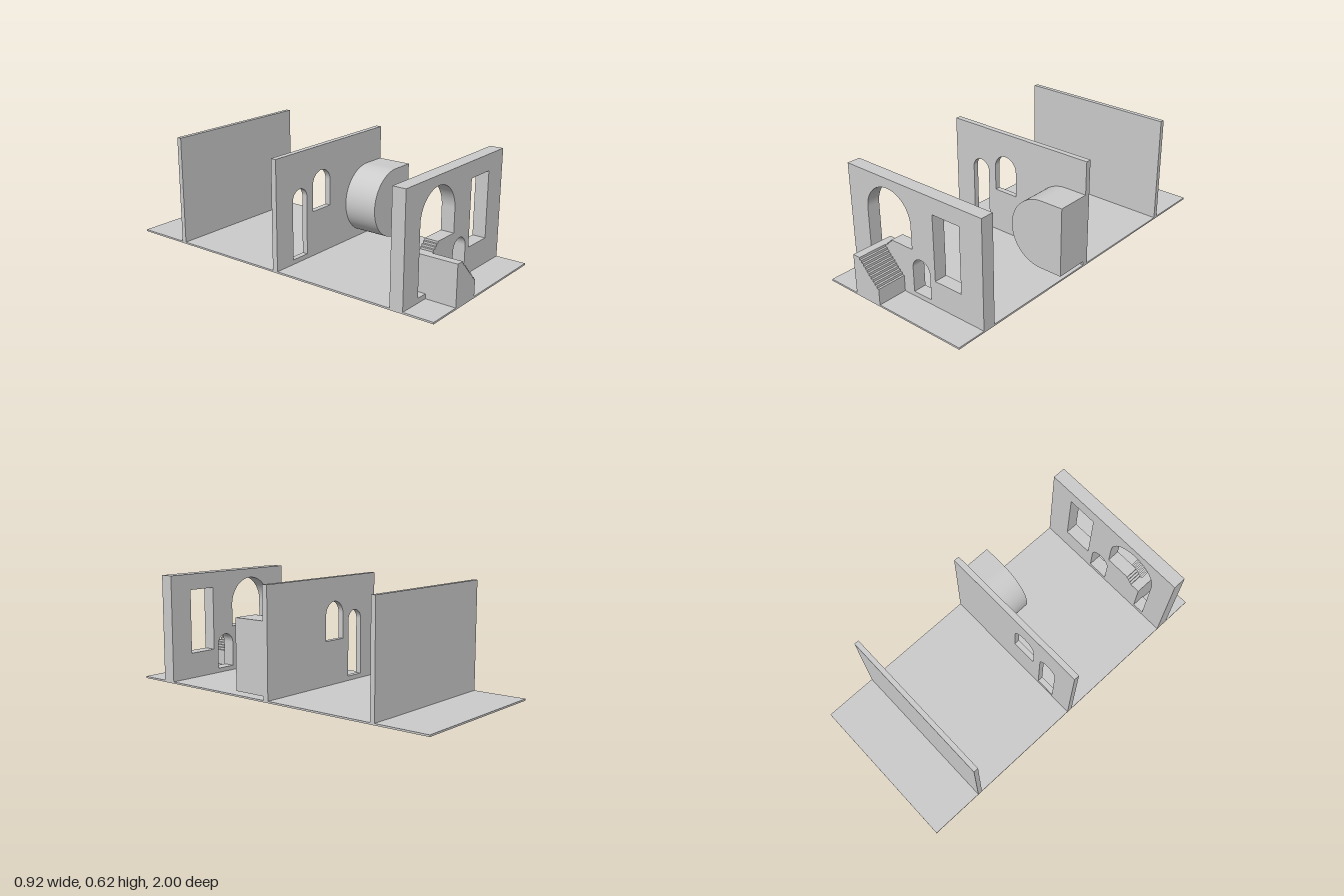
import * as THREE from 'three';

const W = 0.46, H = 0.622, FLOOR = 0.01;
const material = new THREE.MeshStandardMaterial({ color: 0xcccccc });

// Upright slab cut from a front outline, spanning z0..z1
function slab(name, shape, z0, z1) {
  const geometry = new THREE.ExtrudeGeometry(shape, { depth: z1 - z0, bevelEnabled: false, curveSegments: 32 });
  geometry.translate(0, 0, z0);
  const mesh = new THREE.Mesh(geometry, material);
  mesh.name = name;
  return mesh;
}

function polygon(points) {
  return new THREE.Shape(points.map(([x, y]) => new THREE.Vector2(x, y)));
}

function rect(x0, x1, y0, y1) {
  return polygon([[x0, y0], [x1, y0], [x1, y1], [x0, y1]]);
}

// Round-headed opening; sill is the bottom outline from left to right
function arch(x0, x1, top, sill) {
  const r = (x1 - x0) / 2;
  const path = polygon(sill);
  path.lineTo(x1, top - r);
  path.absarc((x0 + x1) / 2, top - r, r, 0, Math.PI, false);
  path.closePath();
  return path;
}

const plainArch = (x0, x1, y0, top) => arch(x0, x1, top, [[x0, y0], [x1, y0]]);

// Points of a stair profile from one corner to another, riser first
function steps(x0, y0, x1, y1, count) {
  const points = [];
  for (let i = 0; i < count; i++) {
    const x = x0 + (x1 - x0) * i / count;
    const y = y0 + (y1 - y0) * (i + 1) / count;
    points.push([x, y], [x + (x1 - x0) / count, y]);
  }
  return points;
}

function wall(name, z0, z1, holes) {
  const shape = rect(-W, W, FLOOR, H);
  shape.holes.push(...holes);
  return slab(name, shape, z0, z1);
}

export function createModel() {
  const model = new THREE.Group();
  model.name = 'archedWalls';

  // Thin floor
  const floor = new THREE.Mesh(new THREE.BoxGeometry(2 * W, FLOOR, 2), material);
  floor.position.y = FLOOR / 2;
  floor.name = 'floor';
  model.add(floor);

  // Front wall: big arch with a stepped sill, small doorway, tall window
  const steppedSill = [
    [-0.33, 0.036], [-0.262, 0.036], [-0.262, 0.236], [-0.204, 0.236],
    ...steps(-0.204, 0.236, -0.165, 0.27, 3), [-0.165, 0.281], [-0.016, 0.281],
  ];
  model.add(wall('frontWall', 0.752, 0.828, [
    arch(-0.33, -0.016, 0.568, steppedSill),
    plainArch(-0.016, 0.105, 0.036, 0.24),
    rect(0.14, 0.316, 0.158, 0.53),
  ]));

  // Middle wall: tall doorway and arched window
  model.add(wall('middleWall', 0.006, 0.038, [
    plainArch(-0.33, -0.215, 0.036, 0.42),
    plainArch(-0.165, -0.016, 0.265, 0.485),
  ]));

  // Plain back wall
  model.add(wall('backWall', -0.689, -0.662, []));

  // Staircase against the front wall
  const stairs = polygon([
    [-0.262, FLOOR], [-0.262, 0.236], [-0.216, 0.236],
    ...steps(-0.216, 0.236, -0.087, 0.102, 10), [-0.087, FLOOR],
  ]);
  model.add(slab('staircase', stairs, 0.828, 1));

  // Block with a half-round side on the middle wall
  const r = 0.2, cx = 0.328, cy = 0.232;
  const block = new THREE.Shape();
  block.moveTo(W, cy - r);
  block.lineTo(W, cy + r);
  block.absarc(cx, cy, r, Math.PI / 2, Math.PI * 1.5, false);
  block.closePath();
  model.add(slab('roundedBlock', block, 0.038, 0.238));

  return model;
}
